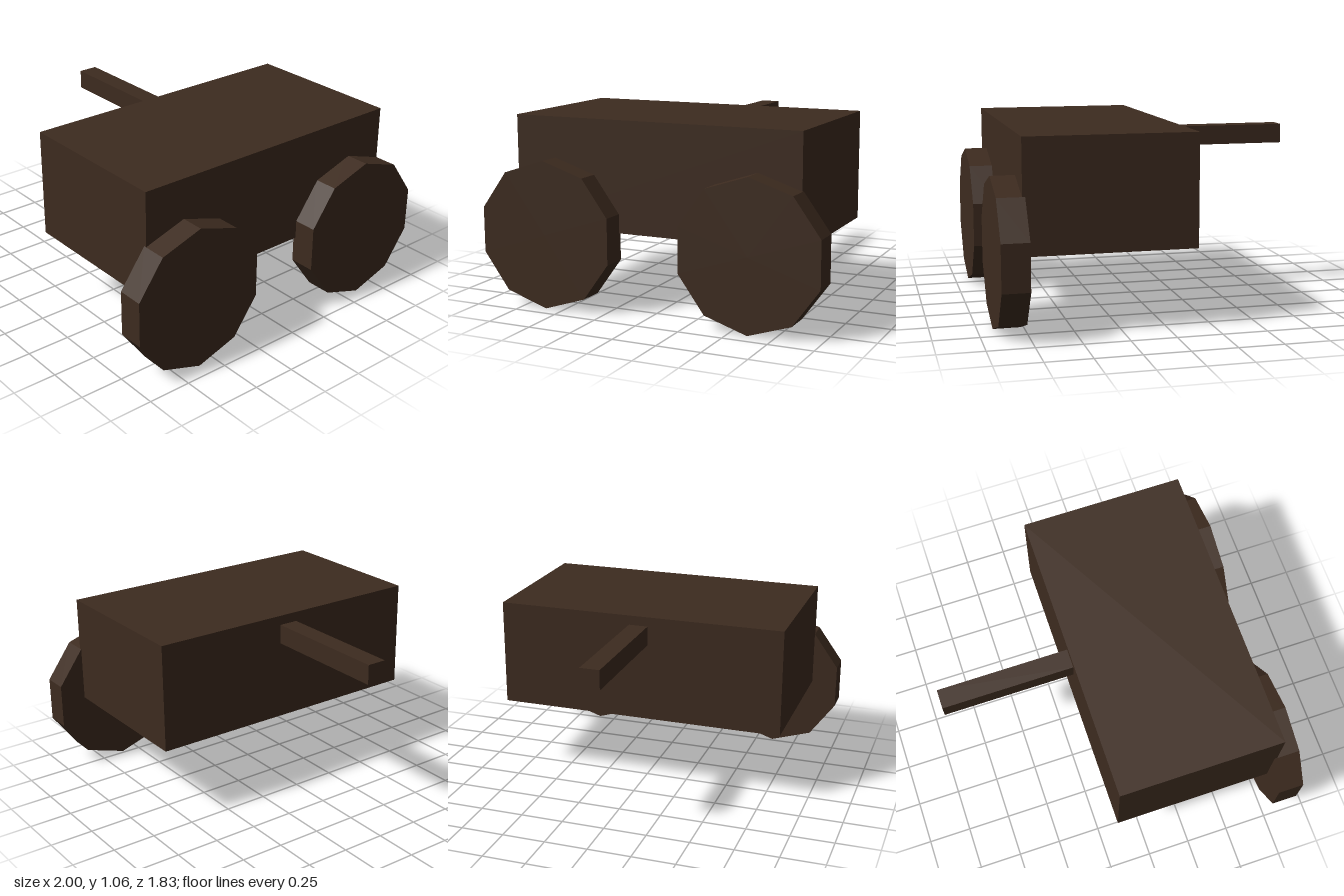
import * as THREE from 'three';

export function createModel() {
  const model = new THREE.Group();
  model.name = 'handCart';

  const darkWood = new THREE.MeshStandardMaterial({ color: 0x3d2b1f });
  darkWood.name = 'darkWood';
  darkWood.flatShading = true;

  const add = (name, geometry, x, y, z) => {
    const mesh = new THREE.Mesh(geometry, darkWood);
    mesh.name = name;
    mesh.position.set(x, y, z);
    model.add(mesh);
  };

  // Cart body
  add('body', new THREE.BoxGeometry(1.696, 0.622, 0.943), 0, 0.748, 0.311);

  // Pull handle, reaching out of the back of the body
  add('handle', new THREE.BoxGeometry(0.112, 0.112, 0.76), 0, 0.948, -0.537);

  // Ten-sided wheels with a corner at the bottom
  const wheel = new THREE.CylinderGeometry(0.415, 0.415, 0.15, 10).rotateX(Math.PI / 2);
  for (const side of [1, -1]) {
    add(side > 0 ? 'leftWheel' : 'rightWheel', wheel, side * 0.605, 0.415, 0.842);
  }

  return model;
}
